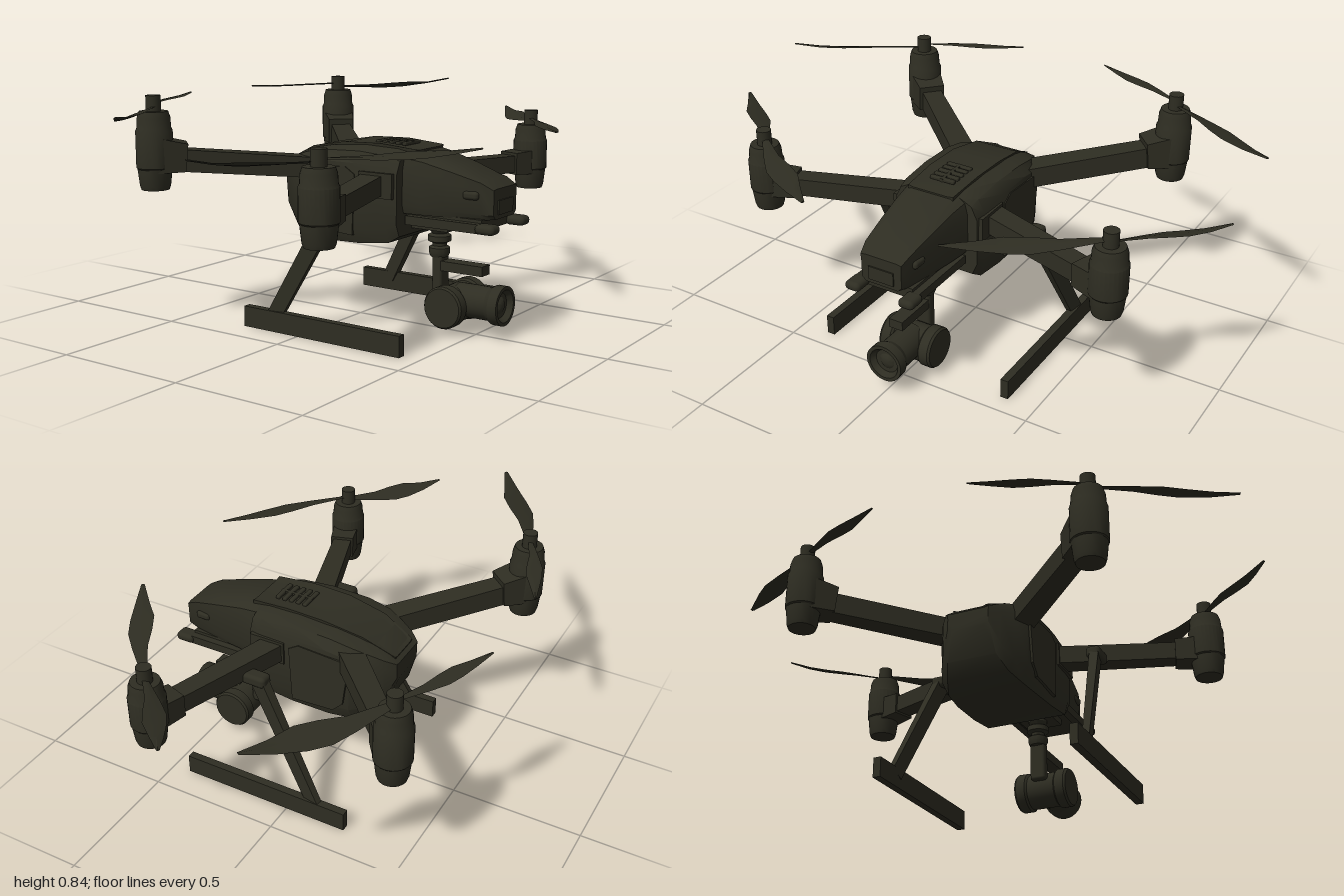
import * as THREE from 'three';
import { toCreasedNormals } from 'three/addons/utils/BufferGeometryUtils.js';
import { RoundedBoxGeometry } from 'three/addons/geometries/RoundedBoxGeometry.js';

const olive = new THREE.MeshStandardMaterial({ color: 0x2e2d22 });
olive.name = 'dark olive';

function add(parent, name, geometry, x = 0, y = 0, z = 0) {
  const mesh = new THREE.Mesh(geometry, olive);
  mesh.name = name;
  mesh.position.set(x, y, z);
  parent.add(mesh);
  return mesh;
}

// Skin over rings of [x, y] points (counter-clockwise from +z), ordered from front to back
function loft(rings, crease = 0.6) {
  const n = rings[0].pts.length, pos = [], idx = [];
  rings.forEach(r => r.pts.forEach(p => pos.push(p[0], p[1], r.z)));
  for (let k = 0; k < rings.length - 1; k++) {
    for (let i = 0; i < n; i++) {
      const a = k * n + i, b = k * n + (i + 1) % n;
      idx.push(a, a + n, b, b, a + n, b + n);
    }
  }
  const last = (rings.length - 1) * n;
  for (let i = 1; i < n - 1; i++) idx.push(0, i, i + 1, last, last + i + 1, last + i);
  const g = new THREE.BufferGeometry();
  g.setAttribute('position', new THREE.Float32BufferAttribute(pos, 3));
  g.setIndex(idx);
  return toCreasedNormals(g, crease);
}

// Symmetric body section: floor, flank, shoulder and roof
function section([z, floorW, flankW, roofW, floorY, shoulderY, roofY]) {
  const half = [
    [floorW, floorY], [flankW, floorY + (shoulderY - floorY) * 0.2],
    [flankW, shoulderY], [(flankW + roofW) / 2 + 0.012, (shoulderY + roofY) / 2 + 0.012],
    [roofW, roofY],
  ];
  return { z, pts: [...half, ...half.slice().reverse().map(([x, y]) => [-x, y])] };
}

// Tapered square beam between two points
function beam(parent, name, from, to, w, h, w2 = w, h2 = h) {
  const a = new THREE.Vector3(...from), b = new THREE.Vector3(...to), len = a.distanceTo(b);
  const g = new THREE.BoxGeometry(1, 1, len), p = g.attributes.position;
  for (let i = 0; i < p.count; i++) {
    const end = p.getZ(i) > 0;
    p.setXY(i, p.getX(i) * (end ? w2 : w), p.getY(i) * (end ? h2 : h));
  }
  g.computeVertexNormals();
  const mesh = add(parent, name, g, ...a.clone().add(b).multiplyScalar(0.5).toArray());
  mesh.lookAt(b);
  return mesh;
}

function lathe(profile) {
  const pts = profile.map(([r, y]) => new THREE.Vector2(r, y));
  return toCreasedNormals(new THREE.LatheGeometry(pts, 28), 0.5);
}

// Twisted propeller blade running from the hub towards (dx, dz)
function blade(parent, dx, dz, hand, width, drop) {
  const len = Math.hypot(dx, dz);
  const stations = [[0.02, -0.012, 0.012], [0.3, -0.045, 0.015], [0.47, -0.06, 0.033],
    [0.62, -0.052, 0.042], [0.8, -0.032, 0.024], [1, -0.007, 0.007]];
  const rings = stations.map(([t, lo, hi]) => {
    const [x0, x1] = (hand > 0 ? [lo, hi] : [-hi, -lo]).map(v => v * width);
    const mid = (x0 + x1) / 2, tilt = x => (x * hand - 0.06) * drop * Math.min(1, 4 * (1 - t));
    return { z: -t * len, pts: [[x1, tilt(x1)], [mid, tilt(mid) + 0.003], [x0, tilt(x0)], [mid, tilt(mid) - 0.003]] };
  });
  add(parent, 'propellerBlade', loft(rings)).rotation.y = Math.atan2(-dx, -dz);
}

function rotor(parent, name, x, y, z, height, blades) {
  const g = new THREE.Group();
  g.name = name;
  g.position.set(x, y, z);
  parent.add(g);
  const h = height;
  add(g, 'motorPod', lathe([[0, 0], [0.05, 0], [0.055, 0.015], [0.062, 0.075], [0.066, 0.08], [0.066, h * 0.75],
    [0.061, h * 0.79], [0.059, h * 0.92], [0.052, h], [0, h]]));
  add(g, 'propellerHub', new THREE.CylinderGeometry(0.027, 0.027, 0.056, 20), 0, h + 0.028, 0);
  const prop = new THREE.Group();
  prop.name = 'propeller';
  prop.position.y = h + 0.032;
  g.add(prop);
  blades.forEach(b => blade(prop, ...b));
}

export function createModel() {
  const model = new THREE.Group();
  model.name = 'quadcopter';

  // Fuselage
  const body = new THREE.Group();
  body.name = 'body';
  model.add(body);
  add(body, 'hull', loft([
    [0.27, 0.15, 0.168, 0.1, 0.35, 0.57, 0.64], [0.23, 0.16, 0.174, 0.1, 0.325, 0.585, 0.652],
    [0.1, 0.16, 0.178, 0.1, 0.31, 0.6, 0.657], [-0.05, 0.155, 0.178, 0.1, 0.305, 0.6, 0.647],
    [-0.14, 0.145, 0.172, 0.095, 0.31, 0.585, 0.63], [-0.2, 0.12, 0.145, 0.085, 0.335, 0.565, 0.61],
    [-0.25, 0.095, 0.115, 0.075, 0.385, 0.55, 0.585], [-0.285, 0.06, 0.08, 0.06, 0.49, 0.54, 0.558],
  ].map(section)));
  add(body, 'nose', loft([
    [0.605, 0.065, 0.08, 0.06, 0.435, 0.51, 0.54], [0.56, 0.08, 0.092, 0.068, 0.43, 0.53, 0.567],
    [0.45, 0.1, 0.108, 0.075, 0.43, 0.55, 0.605], [0.34, 0.115, 0.122, 0.08, 0.43, 0.57, 0.637],
    [0.24, 0.125, 0.135, 0.085, 0.43, 0.58, 0.655],
  ].map(section)));
  add(body, 'spine', loft([
    [0.3, 0.08, 0.09, 0.07, 0.6, 0.635, 0.65], [0.15, 0.085, 0.095, 0.075, 0.6, 0.645, 0.664],
    [0, 0.085, 0.095, 0.075, 0.6, 0.64, 0.66], [-0.15, 0.08, 0.085, 0.065, 0.57, 0.612, 0.635],
    [-0.27, 0.05, 0.06, 0.05, 0.53, 0.56, 0.573],
  ].map(section)));

  // Roof vent with slats
  for (let i = 0; i < 5; i++) {
    add(body, 'ventSlat', new RoundedBoxGeometry(0.1, 0.014, 0.018, 2, 0.005), 0, 0.664, 0.11 + i * 0.028);
  }
  add(body, 'ventRib', new THREE.BoxGeometry(0.012, 0.012, 0.13), 0, 0.664, 0.166);

  // Equipment deck under the nose
  add(body, 'noseDeck', new THREE.BoxGeometry(0.2, 0.04, 0.3), 0, 0.415, 0.42);
  add(body, 'gimbalPlate', new THREE.BoxGeometry(0.14, 0.03, 0.16), 0, 0.385, 0.34);
  add(body, 'noseWindow', new THREE.BoxGeometry(0.1, 0.05, 0.008), 0, 0.475, 0.606);

  for (const s of [1, -1]) {
    const side = s > 0 ? 'left' : 'right';

    // Flank panel, arm socket and nose sensors
    const panel = new THREE.Shape([[0.09, 0.34], [0.1, 0.56], [0.06, 0.585], [-0.11, 0.575], [-0.14, 0.54],
      [-0.12, 0.39], [-0.08, 0.35]].map(([z, y]) => new THREE.Vector2(-z, y)));
    const panelGeo = new THREE.ExtrudeGeometry(panel, { depth: 0.012, bevelEnabled: false });
    add(body, side + 'FlankPanel', panelGeo, s * 0.176 - 0.006, 0, 0).rotation.y = Math.PI / 2;
    add(body, side + 'ArmSocket', new THREE.BoxGeometry(0.06, 0.09, 0.14), s * 0.155, 0.53, 0.19);
    add(body, side + 'SensorArm', new THREE.BoxGeometry(0.03, 0.032, 0.3), s * 0.112, 0.408, 0.43);
    add(body, side + 'SensorPod', new RoundedBoxGeometry(0.06, 0.034, 0.075, 3, 0.016), s * 0.108, 0.408, 0.597);
    add(body, side + 'NoseLight', new RoundedBoxGeometry(0.03, 0.03, 0.06, 3, 0.012), s * 0.092, 0.515, 0.525);

    // Front arm and rotor
    beam(model, side + 'FrontArm', [s * 0.13, 0.53, 0.155], [s * 0.68, 0.525, 0.333], 0.085, 0.07, 0.07, 0.065);
    beam(model, side + 'FrontClamp', [s * 0.585, 0.527, 0.303], [s * 0.69, 0.527, 0.337], 0.09, 0.085, 0.1, 0.095);
    rotor(model, side + 'FrontRotor', s * 0.7, 0.42, 0.337, 0.253, [
      [-s * 0.435, 0.325, s, 0.9, 0.15], [s * 0.298, -0.272, s, 0.8, 0.3]]);

    // Rear arm and rotor
    beam(model, side + 'RearArm', [s * 0.13, 0.565, -0.125], [s * 0.53, 0.61, -0.487], 0.09, 0.075, 0.075, 0.08);
    beam(model, side + 'RearClamp', [s * 0.47, 0.615, -0.432], [s * 0.545, 0.625, -0.5], 0.1, 0.1, 0.12, 0.125);
    rotor(model, side + 'RearRotor', s * 0.552, 0.5, -0.507, 0.28, [
      [s * 0.445, 0.28, s, 1, 0.3], [-s * 0.37, -0.165, -s, 0.6, 0.08]]);

    // Landing gear
    add(model, side + 'Skid', new THREE.BoxGeometry(0.03, 0.075, 0.67), s * 0.375, 0.0375, 0.095);
    beam(model, side + 'Leg', [s * 0.325, 0.5, 0.135], [s * 0.373, 0.05, -0.115], 0.035, 0.06, 0.025, 0.055);
    add(model, side + 'LegKnuckle', new RoundedBoxGeometry(0.055, 0.045, 0.1, 2, 0.015), s * 0.325, 0.505, 0.15);
  }

  // Gimbal: damper stack, post and yoke
  const gimbal = new THREE.Group();
  gimbal.name = 'gimbal';
  model.add(gimbal);
  add(gimbal, 'damper', lathe([[0, 0.26], [0.032, 0.265], [0.038, 0.28], [0.038, 0.298], [0.026, 0.305], [0.026, 0.315],
    [0.042, 0.322], [0.042, 0.342], [0.028, 0.35], [0.036, 0.362], [0.036, 0.385], [0, 0.385]]), 0, 0, 0.345);
  add(gimbal, 'post', new RoundedBoxGeometry(0.06, 0.15, 0.04, 2, 0.01), 0, 0.2, 0.35);
  add(gimbal, 'yoke', new THREE.BoxGeometry(0.055, 0.035, 0.2), 0, 0.236, 0.435);

  // Camera: cross motor and forward lens barrel
  add(gimbal, 'tiltMotor', lathe([[0, -0.106], [0.07, -0.106], [0.076, -0.098], [0.076, -0.062], [0.068, -0.055],
    [0.068, 0.055], [0.076, 0.062], [0.076, 0.098], [0.07, 0.106], [0, 0.106]]), 0, 0.105, 0.42).rotation.z = Math.PI / 2;
  add(gimbal, 'lensBarrel', lathe([[0, 0], [0.06, 0], [0.06, 0.13], [0.071, 0.15], [0.071, 0.185], [0.058, 0.185],
    [0.045, 0.165], [0.03, 0.165], [0.018, 0.173], [0, 0.175]]), 0, 0.12, 0.43).rotation.x = Math.PI / 2;

  return model;
}
